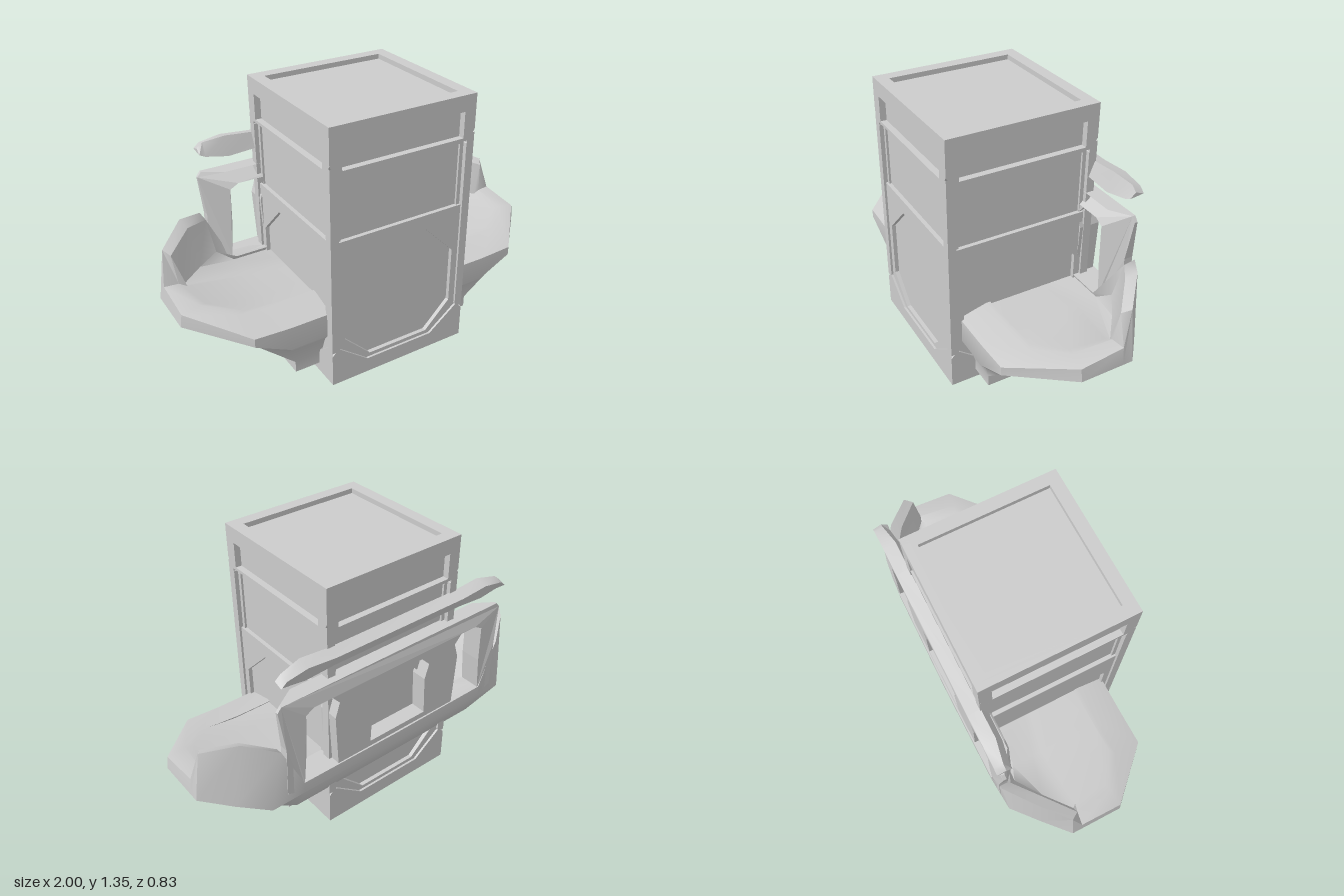
import * as THREE from 'three';
import { toCreasedNormals } from 'three/addons/utils/BufferGeometryUtils.js';

const material = new THREE.MeshStandardMaterial({ color: 0xcccccc, side: THREE.DoubleSide });
const HALF = 0.3875;   // half width of the square column
const COLUMN_Z = 0.0325;
const clamp = THREE.MathUtils.clamp;

function add(parent, name, geometry) {
  const mesh = new THREE.Mesh(geometry, material);
  mesh.name = name;
  parent.add(mesh);
  return mesh;
}

const points = (list) => list.map(([x, y]) => new THREE.Vector2(x, y));
const mirrorX = (list) => [...list, ...list.map(([x, y]) => [-x, y]).reverse()];

// Flat plate from an outline and holes, thickness along z
function plate(outline, holes, depth) {
  const shape = new THREE.Shape(points(outline));
  holes.forEach((h) => shape.holes.push(new THREE.Path(points(h))));
  return new THREE.ExtrudeGeometry(shape, { depth, bevelEnabled: false });
}

// Skin over rows of [x, y, z] points; optionally closed along the rows or around each one
function loft(rows, closedRows, closedRing, crease) {
  const n = rows[0].length, index = [];
  const lastRow = closedRows ? rows.length : rows.length - 1;
  const lastCol = closedRing ? n : n - 1;
  for (let i = 0; i < lastRow; i++) {
    for (let j = 0; j < lastCol; j++) {
      const i2 = (i + 1) % rows.length, j2 = (j + 1) % n;
      const a = i * n + j, b = i2 * n + j, c = i2 * n + j2, d = i * n + j2;
      index.push(a, b, c, a, c, d);
    }
  }
  const g = new THREE.BufferGeometry();
  g.setAttribute('position', new THREE.Float32BufferAttribute(rows.flat(2), 3));
  g.setIndex(index);
  return toCreasedNormals(g, crease);
}

function buildColumn() {
  const column = new THREE.Group();
  column.name = 'column';
  column.position.z = COLUMN_Z;

  // Recessed inner body
  const core = add(column, 'innerBody', new THREE.BoxGeometry(0.71, 1.275, 0.71));
  core.position.y = 0.05 + 1.275 / 2;

  const octagon = mirrorX([[0.17, 0.1], [0.31, 0.24], [0.31, 0.54], [0.14, 0.71]]);
  for (let i = 0; i < 4; i++) {
    const side = new THREE.Group();
    side.name = 'columnSide';
    side.rotation.y = i * Math.PI / 2;
    column.add(side);

    // Cap frame around a shallow window
    add(side, 'capFrame', plate(
      mirrorX([[0.355, 1.125], [HALF, 1.175], [HALF, 1.35]]),
      [mirrorX([[0.325, 1.14], [0.325, 1.27]])], 0.035)).position.z = HALF - 0.035;

    // Lower panel with octagonal recess
    add(side, 'lowerPanel', plate(mirrorX([[0.36, 0.02], [0.36, 0.785]]), [octagon], 0.024))
      .position.z = 0.352;

    // Border of the upper panel
    add(side, 'upperPanelBorder', plate(mirrorX([[0.36, 0.77], [0.36, 1.14]]),
      [mirrorX([[0.325, 0.785], [0.325, 1.105]])], 0.014)).position.z = 0.352;

    // Foot with raised corners
    add(side, 'foot', plate([
      [-HALF, 0], [HALF, 0], [HALF, 0.17], [0.36, 0.2], [0.345, 0.2], [0.19, 0.08],
      [-0.19, 0.08], [-0.345, 0.2], [-0.36, 0.2], [-HALF, 0.17],
    ], [], 0.035)).position.z = HALF - 0.035;

    // Corner post with slanted ends, one leaf each side of the corner
    for (const s of [-1, 1]) {
      add(side, 'cornerPost', plate([
        [s * 0.345, 0.21], [s * HALF, 0.19], [s * HALF, 1.16], [s * 0.345, 1.11],
      ], [], 0.04)).position.z = HALF - 0.04;
    }
  }

  // Top rim and underside rim
  const square = mirrorX([[HALF, -HALF], [HALF, HALF]]);
  const top = add(column, 'topRim', plate(square, [mirrorX([[0.325, -0.325], [0.325, 0.325]])], 0.03));
  top.rotation.x = -Math.PI / 2;
  top.position.y = 1.32;
  const under = add(column, 'undersideRim', plate(square,
    [mirrorX([[0.19, -0.31], [0.31, -0.19], [0.31, 0.19], [0.19, 0.31]])], 0.055));
  under.rotation.x = -Math.PI / 2;
  return column;
}

// Wrap-around seat: each station is outer low edge, outer rim, inner rim
function buildSeat() {
  const stations = [
    [[0, 0.25, 0.355], [0, 0.375, 0.355], [0, 0.41, 0.21]],
    [[0.57, 0.25, 0.355], [0.57, 0.375, 0.355], [0.57, 0.415, 0.21]],
    [[0.75, 0.34, 0.355], [0.75, 0.385, 0.355], [0.75, 0.43, 0.21]],
    [[1.0, 0.39, 0.1], [0.99, 0.455, 0.1], [0.9, 0.47, 0.09]],
    [[1.0, 0.39, -0.12], [0.99, 0.48, -0.12], [0.92, 0.48, -0.11]],
    [[1.0, 0.39, -0.17], [0.96, 0.65, -0.17], [0.935, 0.63, -0.13]],
    [[0.87, 0.36, -0.285], [0.82, 0.71, -0.3], [0.8, 0.68, -0.25]],
    [[0.74, 0.34, -0.395], [0.68, 0.66, -0.4], [0.67, 0.64, -0.35]],
    [[0.57, 0.36, -0.41], [0.57, 0.42, -0.41], [0.57, 0.42, -0.31]],
    [[0, 0.36, -0.415], [0, 0.42, -0.415], [0, 0.42, -0.31]],
  ];
  const rows = stations.map(([low, rim, inner]) => {
    const [x, , z] = low;
    const bx = Math.min(x, 0.52), bz = clamp(z, -0.19, 0.29);
    return [
      [0, 0.05, 0.05], [bx, 0.05, bz], [bx, 0.11, bz],            // pedestal
      [Math.min(x, 0.72), x < 0.6 ? 0.22 : 0.31, clamp(z, -0.34, 0.33)], // flared underside
      low, rim, inner,
      [inner[0] * 0.96, Math.min(inner[1], 0.46), inner[2] * 0.9], // foot of the inner wall
      [Math.min(x, 0.56), 0.4, clamp(z, -0.29, 0.2)], [0, 0.4, 0], // seat floor
    ];
  });
  // The other half is the mirrored stations in reverse
  const other = rows.slice(1, -1).reverse().map((r) => r.map(([x, y, z]) => [-x, y, z]));
  return loft([...rows, ...other], true, false, 0.75);
}

// Back wall with two tall openings and a middle window
function buildBackWall() {
  const tall = [[0.37, 0.42], [0.565, 0.42], [0.55, 0.6], [0.545, 0.8], [0.5, 0.825], [0.4, 0.825],
    [0.36, 0.78], [0.385, 0.7]];
  const tallMirrored = tall.map(([x, y]) => [-x, y]);
  const middle = mirrorX([[0.175, 0.45], [0.165, 0.66], [0.19, 0.74], [0.14, 0.79]]);
  const g = plate(
    mirrorX([[0.56, 0.36], [0.66, 0.4], [0.655, 0.66], [0.68, 0.87], [0.66, 0.895], [0.56, 0.895]]),
    [tall, tallMirrored, middle], 0.1);
  // Ends sweep back and the top edge thins out
  const p = g.attributes.position;
  for (let i = 0; i < p.count; i++) {
    const front = p.getZ(i) > 0.05, x = Math.abs(p.getX(i)), y = p.getY(i);
    let z = front ? -0.295 : -0.405;
    if (front && x > 0.6) z = -0.36;
    if (y > 0.85) z += front ? -0.015 : 0.015;
    p.setZ(i, z);
  }
  g.computeVertexNormals();
  return g;
}

// Slanted head rail, swelling near each end and tapering to the tips
function buildRail() {
  const half = [[0.67, 1.0, 1.025], [0.64, 0.985, 1.05], [0.53, 0.97, 1.068], [0.38, 0.98, 1.055]];
  const sections = [...half.map(([x, a, b]) => [-x, a, b]), ...half.slice().reverse()];
  const rows = sections.map(([x, low, high]) => {
    const tip = Math.abs(x) > 0.6 ? 0.02 : 0;
    return [[x, low, -0.32 - tip], [x, high, -0.35 - tip], [x, high - 0.015, -0.415], [x, low + 0.005, -0.39]];
  });
  // Close both tips
  const cap = (r) => r.map(() => [r[0][0], (r[0][1] + r[1][1]) / 2, -0.375]);
  return loft([cap(rows[0]), ...rows, cap(rows[rows.length - 1])], false, true, 0.6);
}

export function createModel() {
  const model = new THREE.Group();
  model.name = 'columnWithSeat';
  model.add(buildColumn());
  add(model, 'wrapAroundSeat', buildSeat());
  add(model, 'backWall', buildBackWall());
  add(model, 'headRail', buildRail());
  return model;
}
